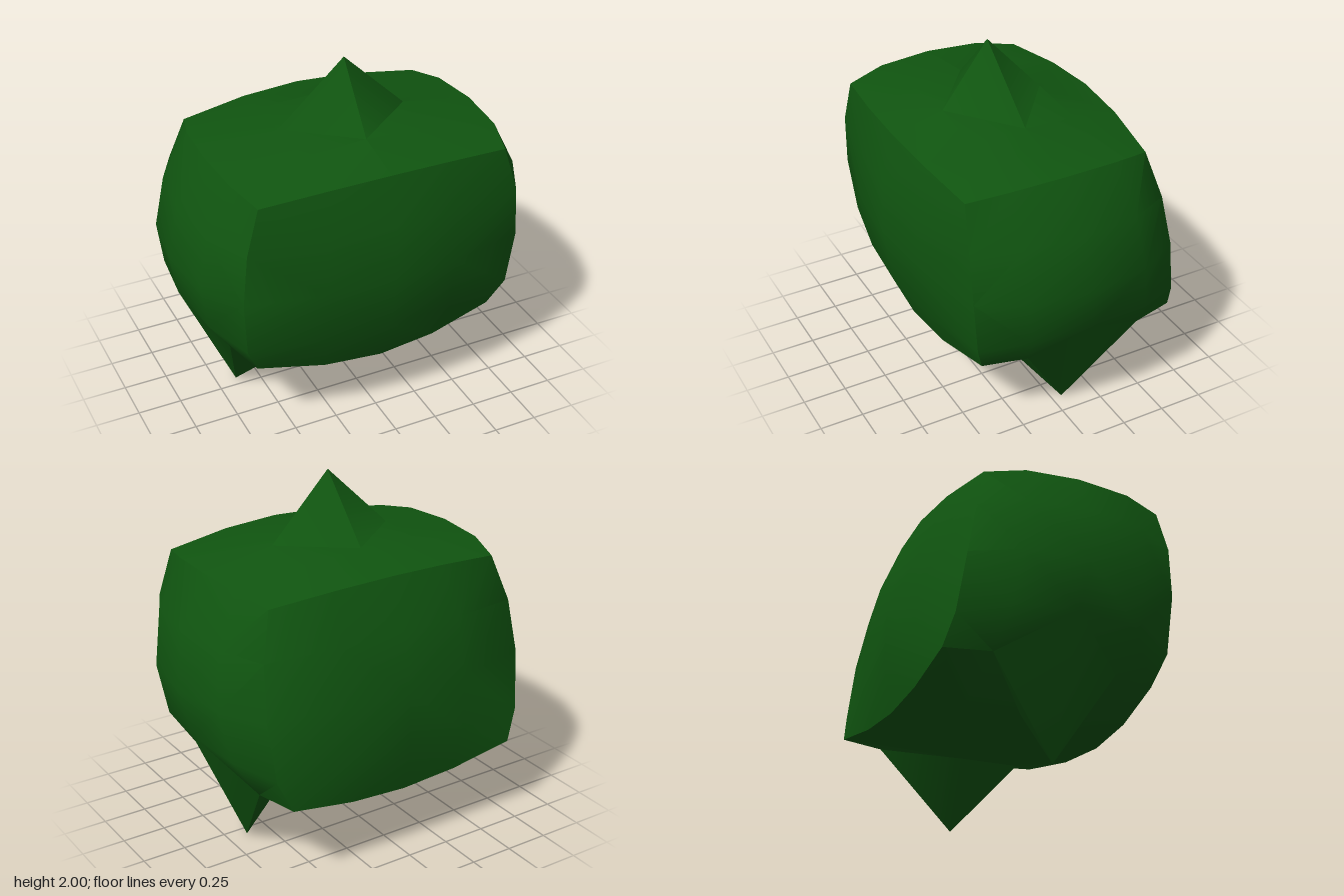
import * as THREE from 'three';
import { toCreasedNormals } from 'three/addons/utils/BufferGeometryUtils.js';

// Maps a point of the unit cube grid to the bulged, slightly leaning body
function bulge(u, v, w) {
  const a = 1 - u * u, b = 1 - v * v, c = 1 - w * w;

  // Spikes: one grid point on top and one on each lower side edge are drawn out
  if (v > 0.99 && Math.abs(u) < 0.01 && Math.abs(w) < 0.01) return [0, 2, 0.07];
  if (v < -0.99 && Math.abs(u) > 0.99 && Math.abs(w) < 0.01) return [0.635 * Math.sign(u), 0, -0.06];

  const x = u * (1 - 0.08 * a) * (0.71 + 0.1 * b + 0.08 * c + 0.11 * b * c);

  const halfY = v > 0
    ? 0.55 + 0.05 * a + 0.045 * c + 0.04 * a * c
    : 0.5 + 0.09 * a + 0.07 * (1 - u ** 4) * (1 - w ** 4);
  const rowStretch = 1 + b * (0.107 + (v < 0 ? 0.33 * u * u * w * w : 0));
  const y = 0.98 + v * halfY * rowStretch;

  const lean = -0.015 + 0.075 * v - 0.015 * v * v;
  const halfZ = 0.595 - 0.0325 * v - 0.0375 * v * v + a * (0.065 + 0.07 * b);
  let z = lean + w * (1 + 0.22 * c * u * u) * halfZ;
  if (w < 0) z += 0.02 * a * w * w * (1 - v) ** 2;  // flatter lower back
  return [x, y, z];
}

// Splits every grid quad along its shorter diagonal
function useShortDiagonals(geometry) {
  const p = geometry.attributes.position;
  const at = (i) => new THREE.Vector3().fromBufferAttribute(p, i);
  const old = geometry.index.array, index = [];
  for (let i = 0; i < old.length; i += 6) {
    const a = old[i], b = old[i + 1], d = old[i + 2], c = old[i + 4];
    if (at(a).distanceTo(at(c)) < at(b).distanceTo(at(d))) index.push(a, b, c, a, c, d);
    else index.push(a, b, d, b, c, d);
  }
  geometry.setIndex(index);
}

export function createModel() {
  const group = new THREE.Group();
  group.name = 'spikedBlock';

  const geometry = new THREE.BoxGeometry(2, 2, 2, 4, 4, 4);
  const p = geometry.attributes.position;
  for (let i = 0; i < p.count; i++) {
    p.setXYZ(i, ...bulge(p.getX(i), p.getY(i), p.getZ(i)));
  }
  useShortDiagonals(geometry);

  const body = new THREE.Mesh(
    toCreasedNormals(geometry, 0.85),
    new THREE.MeshStandardMaterial({ color: 0x105510 })
  );
  body.name = 'bodyWithSpikes';
  group.add(body);
  return group;
}
